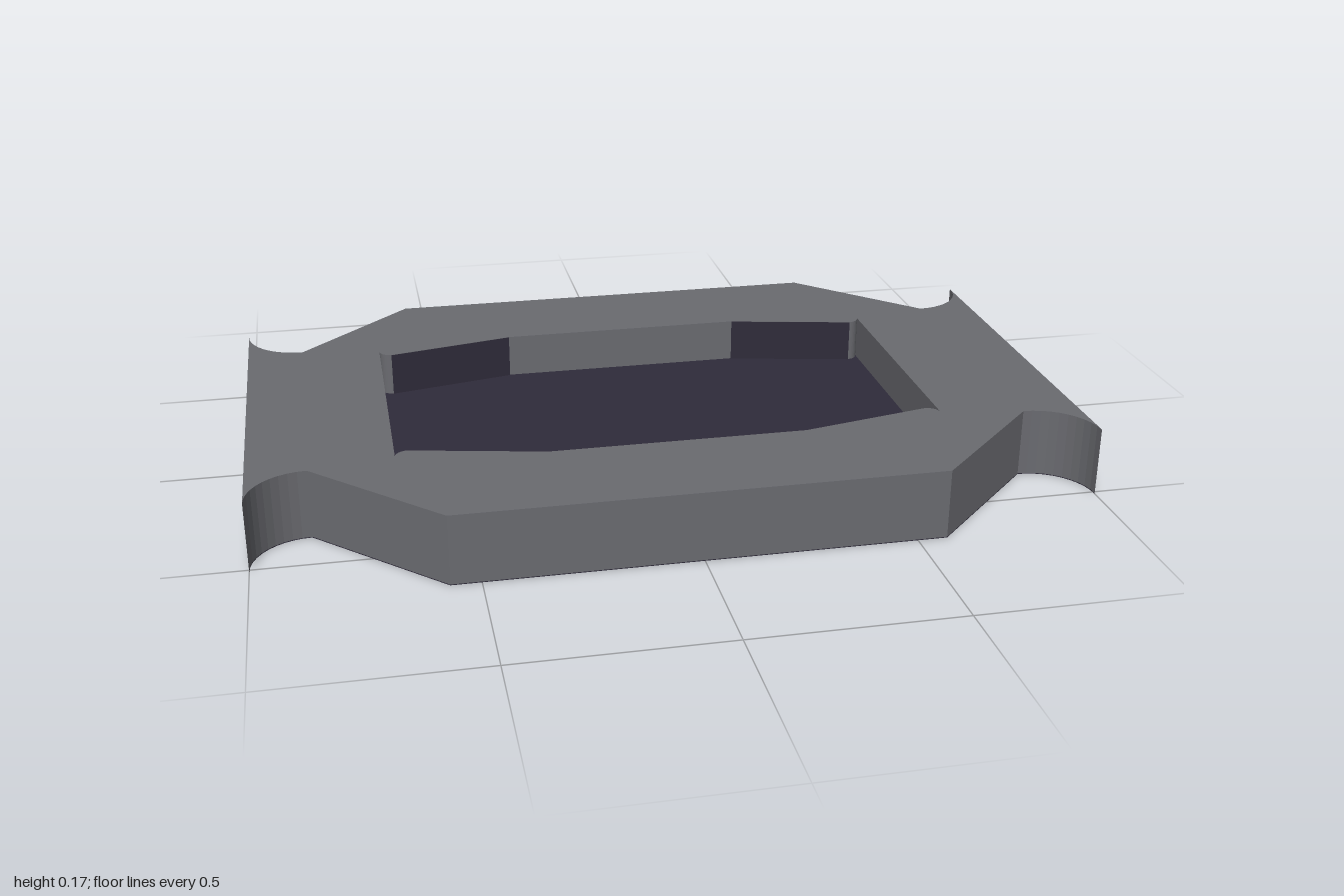
import * as THREE from 'three';

const HEIGHT = 0.17, FLOOR = 0.06, SKIN = 0.002;

// Symmetric outline: straight ends with flared tips, scooped corners, then a slope to the long sides
function outline(w, tip, r, midX, midZ) {
  const quarter = [];
  for (let i = 0; i <= 10; i++) {
    const a = (i / 10) * Math.PI / 2;
    quarter.push([w - r + r * Math.cos(a), tip - r * Math.sin(a)]);
  }
  quarter.push([midX, midZ]);
  const reversed = [...quarter].reverse();
  const mirror = (list, sx, sy) => list.map(([x, y]) => new THREE.Vector2(x * sx, y * sy));
  return [
    ...mirror(quarter, 1, 1), ...mirror(reversed, -1, 1),
    ...mirror(quarter, -1, -1), ...mirror(reversed, 1, -1),
  ];
}

// Extrude an outline upwards between two heights
function slab(shape, y0, y1) {
  const geo = new THREE.ExtrudeGeometry(shape, { depth: y1 - y0, bevelEnabled: false });
  return geo.rotateX(-Math.PI / 2).translate(0, y0, 0);
}

export function createModel() {
  const group = new THREE.Group();
  const grey = new THREE.MeshStandardMaterial({ color: 0x6a6b70, flatShading: true });
  const dark = new THREE.MeshStandardMaterial({ color: 0x2f2b3a, flatShading: true });
  const add = (name, geo, mat) => {
    const mesh = new THREE.Mesh(geo, mat);
    mesh.name = name;
    group.add(mesh);
  };

  const outer = outline(1, 0.51, 0.14, 0.57, 0.655);
  const inner = outline(0.66, 0.335, 0.03, 0.31, 0.375);

  // Frame around the recess
  const frame = new THREE.Shape(outer);
  frame.holes.push(new THREE.Path(inner));
  add('frame', slab(frame, SKIN, HEIGHT), grey);

  // Dark recess floor and underside
  add('recessFloor', slab(new THREE.Shape(inner), SKIN, FLOOR), dark);
  add('underside', slab(new THREE.Shape(outer), 0, SKIN), dark);

  // Dark lining on the four sloping recess walls
  for (const sx of [-1, 1]) for (const sz of [-1, 1]) {
    const dx = 0.32, dz = 0.07;
    const panel = new THREE.PlaneGeometry(Math.hypot(dx, dz), HEIGHT - FLOOR);
    if (sz > 0) panel.rotateY(Math.PI);
    panel.rotateY(sx * sz * Math.atan2(dz, dx));
    panel.translate(sx * 0.47, (HEIGHT + FLOOR) / 2, sz * (0.34 - SKIN));
    add('recessSideLining', panel, dark);
  }
  return group;
}
